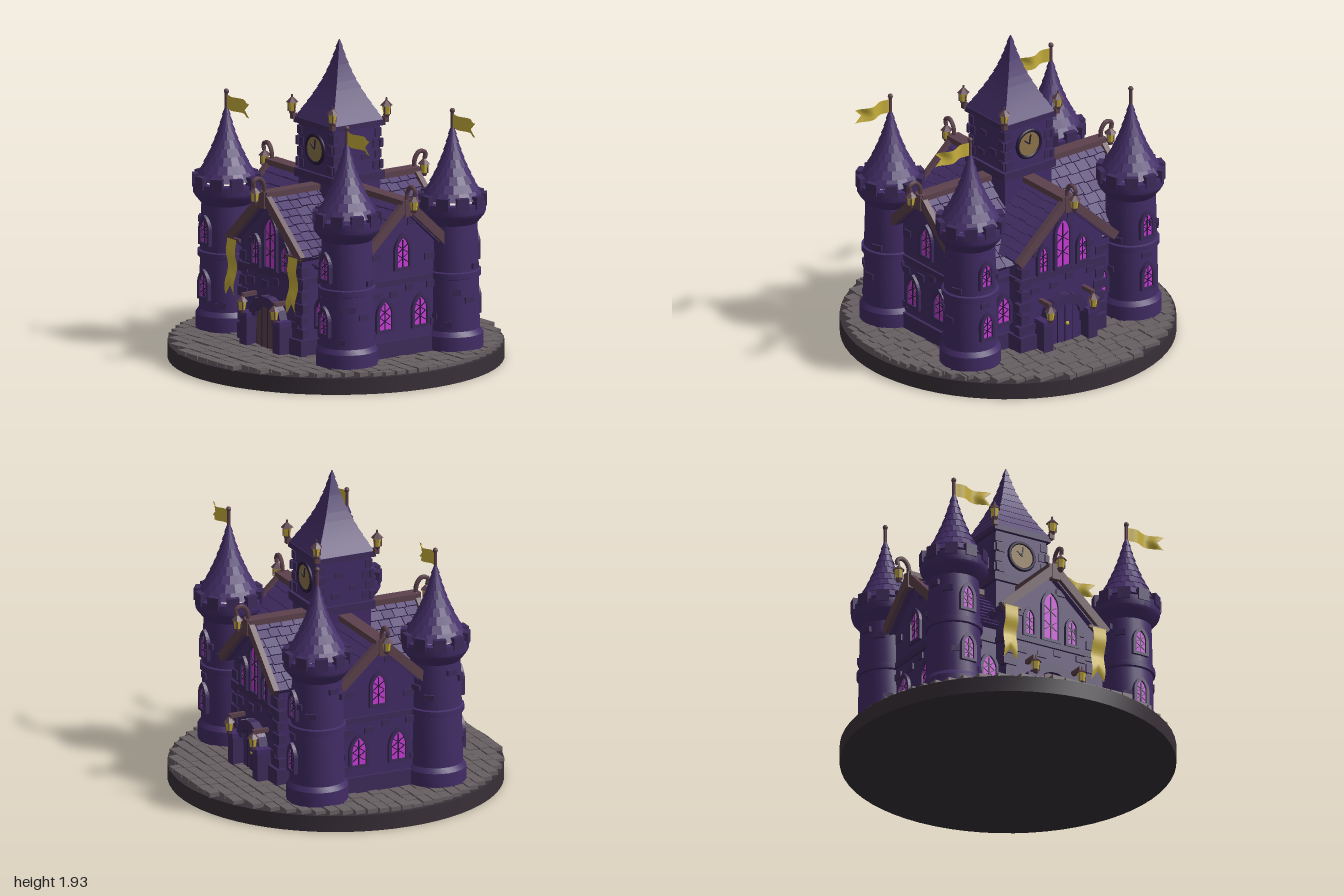
import * as THREE from 'three';
import { mergeGeometries, toCreasedNormals } from 'three/addons/utils/BufferGeometryUtils.js';

const mat = (name, color, side = THREE.FrontSide) => {
  const m = new THREE.MeshStandardMaterial({ color, side });
  m.name = name;
  return m;
};
const M = {
  wall: mat('purple wall', 0x422c66),
  stone: mat('purple stone', 0x3d2a5a),
  roof: mat('violet shingle', 0x452f69),
  dark: mat('dark joint', 0x251a38),
  trim: mat('brown timber', 0x5c414c),
  base: mat('dark base', 0x383038),
  cobble: mat('grey cobble', 0x686062),
  gold: mat('gold', 0xc8b03c, THREE.DoubleSide),
  glass: mat('magenta glass', 0xc83ad6),
  clock: mat('clock face', 0x8c7448),
};
let seed = 7;
const rnd = () => (seed = (seed * 16807) % 2147483647) / 2147483647;

const box = (w, h, d) => new THREE.BoxGeometry(w, h, d);
const cyl = (a, b, h, n = 8) => toCreasedNormals(new THREE.CylinderGeometry(a, b, h, n), 0.6);
function put(parent, name, geo, m, x = 0, y = 0, z = 0, ry = 0) {
  const mesh = new THREE.Mesh(geo, m);
  mesh.name = name;
  mesh.position.set(x, y, z);
  mesh.rotation.y = ry;
  parent.add(mesh);
  return mesh;
}
function group(parent, name, x = 0, y = 0, z = 0, ry = 0) {
  const g = new THREE.Group();
  g.name = name;
  g.position.set(x, y, z);
  g.rotation.y = ry;
  parent.add(g);
  return g;
}

// Pointed arch outline standing on y = 0
function arch(w, h, Kind = THREE.Shape) {
  const s = new Kind(), r = w / 2, k = h - w * 0.8;
  s.moveTo(-r, 0);
  s.lineTo(r, 0);
  s.lineTo(r, k);
  s.quadraticCurveTo(r * 0.9, k + w * 0.5, 0, h);
  s.quadraticCurveTo(-r * 0.9, k + w * 0.5, -r, k);
  s.lineTo(-r, 0);
  return s;
}
const extrude = (s, depth) => new THREE.ExtrudeGeometry(s, { depth, bevelEnabled: false, curveSegments: 6 });

function archWindow(parent, w, h, x, y, z, ry = 0) {
  const g = group(parent, 'window', x, y, z, ry);
  const frame = arch(w + 0.04, h + 0.045), hole = arch(w, h, THREE.Path);
  hole.curves.forEach((c) => ['v0', 'v1', 'v2'].forEach((k) => c[k] && (c[k].y += 0.018)));
  frame.holes.push(hole);
  put(g, 'windowFrame', extrude(frame, 0.03), M.stone, 0, -0.018, -0.01);
  put(g, 'glassPane', extrude(arch(w, h), 0.008), M.glass);
  put(g, 'mullion', box(0.006, h * 0.92, 0.006), M.dark, 0, h * 0.46, 0.01);
  for (const [t, a] of [[0.3, 0.6], [0.3, -0.6], [0.62, 0.6], [0.62, -0.6]])
    put(g, 'leadBar', box(w * 1.05, 0.005, 0.005), M.dark, 0, h * t, 0.009).rotation.z = a;
}

// Lantern whose bottom is at y
function lantern(parent, x, y, z) {
  const g = group(parent, 'lantern', x, y, z);
  put(g, 'lanternFoot', cyl(0.022, 0.014, 0.02, 6), M.trim, 0, 0.01);
  put(g, 'lanternGlass', cyl(0.028, 0.018, 0.055, 6), M.gold, 0, 0.047);
  put(g, 'lanternCap', cyl(0.008, 0.038, 0.03, 6), M.trim, 0, 0.088);
  put(g, 'lanternKnob', cyl(0.006, 0.006, 0.02, 6), M.trim, 0, 0.11);
  for (let i = 0; i < 3; i++) {
    const a = (i + 0.5) * Math.PI / 1.5;
    put(g, 'lanternBar', box(0.006, 0.055, 0.006), M.trim, 0.024 * Math.sin(a), 0.047, 0.024 * Math.cos(a));
  }
}

// Spire of overlapping shingle courses; radius(t) for t from eave to tip
function spire(parent, sides, h, y, tiers, radius, turn) {
  const parts = [];
  for (let i = 0; i < tiers; i++) {
    const t = i / tiers, top = (i + 1) / tiers;
    const c = new THREE.CylinderGeometry(radius(top), radius(t) + 0.006, h / tiers, sides);
    c.rotateY(turn + (sides > 4 ? (i % 2) * Math.PI / sides : 0));
    c.translate(0, (i + 0.5) * h / tiers, 0);
    parts.push(c);
  }
  put(parent, 'spireShingles', toCreasedNormals(mergeGeometries(parts), 0.3), M.roof, 0, y);
}

// Wavy swallowtail cloth running along +x from the origin
function cloth(len, w, amp, waves) {
  const g = new THREE.PlaneGeometry(len, w, 16, 4).translate(len / 2, 0, 0);
  const p = g.attributes.position;
  for (let i = 0; i < p.count; i++) {
    const t = p.getX(i) / len, v = Math.abs(p.getY(i)) / (w / 2);
    p.setX(i, p.getX(i) - (1 - v) * len * 0.18 * Math.max(0, t - 0.5) * 2);
    p.setZ(i, amp * Math.sin(t * waves * Math.PI * 2) * Math.min(1, t * 3));
    p.setY(i, p.getY(i) - 0.015 * t);
  }
  g.computeVertexNormals();
  return g;
}

const SLOPE = 0.92, RIDGE = 1.05, ANGLE = Math.atan(SLOPE);

// Gabled wing with its ridge along local z
function wing(parent, name, half, wallHalf, len, ry) {
  const g = group(parent, name, 0, 0, 0, ry);
  const wallLen = len - 0.05, eave = RIDGE - wallHalf * SLOPE - 0.03;
  const s = new THREE.Shape([[-wallHalf, 0.1], [wallHalf, 0.1], [wallHalf, eave], [0, RIDGE - 0.03], [-wallHalf, eave]]
    .map(([x, y]) => new THREE.Vector2(x, y)));
  put(g, 'gableWalls', extrude(s, wallLen * 2), M.wall, 0, 0, -wallLen);
  put(g, 'stringCourse', box(wallHalf * 2 + 0.03, 0.035, wallLen * 2 + 0.03), M.stone, 0, 0.575, 0);
  put(g, 'plinth', box(wallHalf * 2 + 0.04, 0.12, wallLen * 2 + 0.04), M.stone, 0, 0.16, 0);
  const run = half / Math.cos(ANGLE), rows = 8, step = run / rows;
  for (const turn of [0, Math.PI]) {
    const slope = group(g, 'roofSlope', 0, RIDGE, 0);
    slope.rotation.set(0, turn, -ANGLE, 'YXZ');
    put(slope, 'roofDeck', box(run, 0.03, len * 2 - 0.02), M.roof, run / 2, -0.015, 0);
    const tiles = [];
    for (let r = 0; r < rows; r++) {
      let z = -len + 0.01;
      while (z < len - 0.02) {
        const w = Math.min(0.06 + rnd() * 0.03, len - 0.01 - z);
        tiles.push(box(step * 1.1, 0.014, w - 0.005).rotateZ(0.12 + rnd() * 0.06)
          .translate((r + 0.5) * step + (rnd() - 0.5) * 0.01, 0.005, z + w / 2));
        z += w;
      }
    }
    put(slope, 'roofShingles', mergeGeometries(tiles), M.roof);
    for (const e of [-1, 1]) put(slope, 'bargeBoard', box(run + 0.02, 0.055, 0.035), M.trim, run / 2, 0.005, e * len);
  }
  put(g, 'ridgeBeam', box(0.085, 0.035, len * 2 + 0.03), M.trim, 0, RIDGE + 0.012, 0);
  // Hooked lantern at each gable peak
  for (const turn of [0, Math.PI]) {
    const e = group(g, 'gableHook', 0, 0, 0, turn);
    const pts = [[1.03, 0], [1.13, 0.01], [1.165, 0.045], [1.15, 0.085], [1.115, 0.08]]
      .map(([y, z]) => new THREE.Vector3(0, y, len + z));
    put(e, 'hook', new THREE.TubeGeometry(new THREE.CatmullRomCurve3(pts), 16, 0.014, 6), M.trim);
    put(e, 'hookBracket', box(0.05, 0.1, 0.04), M.trim, 0, 1.03, len + 0.005);
    lantern(e, 0, 1.01, len + 0.075);
    // Raised wall blocks and corner stones
    for (const [x, y, w] of [[-0.19, 0.74, 0.06], [0.2, 0.7, 0.07], [0.07, 0.93, 0.06], [-0.2, 0.5, 0.07], [0.21, 0.53, 0.06], [-0.06, 0.5, 0.06], [0.05, 0.53, 0.05], [-0.23, 0.27, 0.07], [0.24, 0.3, 0.06]])
      put(e, 'wallBlock', box(w, 0.04, 0.02), M.stone, x, y, wallLen);
    for (const sx of [-1, 1]) for (let i = 0; i < 6; i++)
      put(e, 'cornerStone', box(i % 2 ? 0.06 : 0.09, 0.055, 0.05), M.stone, sx * (wallHalf - 0.02), 0.26 + i * 0.075, wallLen - 0.015);
  }
  return g;
}

function roundTower(parent, sx, sz, flag) {
  const g = group(parent, 'cornerTower', sx * 0.6, 0, sz * 0.39);
  const profile = [[0.185, 0.1], [0.185, 0.21], [0.165, 0.24], [0.158, 0.555], [0.172, 0.56], [0.172, 0.595], [0.158, 0.6],
    [0.15, 0.88], [0.19, 0.93], [0.2, 0.95], [0.2, 1.01], [0.15, 1.01]].map(([x, y]) => new THREE.Vector2(x, y));
  put(g, 'towerShaft', toCreasedNormals(new THREE.LatheGeometry(profile, 24), 0.5), M.wall);
  for (let i = 0; i < 10; i++) {
    const a = (i / 10) * Math.PI * 2;
    put(g, 'merlon', box(0.075, 0.075, 0.035), M.stone, 0.187 * Math.sin(a), 1.02, 0.187 * Math.cos(a), a);
  }
  for (let i = 0; i < 12; i++) {
    const a = i * 2.4 + 0.7, y = 0.28 + ((i * 5) % 12) * 0.05;
    if (Math.abs(y - 0.575) > 0.04) put(g, 'towerBlock', box(0.065, 0.035, 0.02), M.stone, 0.156 * Math.sin(a), y, 0.156 * Math.cos(a), a);
  }
  spire(g, 16, 0.43, 1.03, 9, (t) => 0.175 * (1 - t) + 0.008 - 0.02 * Math.sin(t * Math.PI), 0);
  put(g, 'flagPole', cyl(0.01, 0.01, 0.16, 8), M.trim, 0, 1.48);
  put(g, 'poleKnob', new THREE.SphereGeometry(0.016, 8, 6), M.trim, 0, 1.555);
  if (flag) put(g, 'flag', cloth(0.25, 0.085, 0.018, 1.3), M.gold, 0, 1.495, 0);
  const ry = sz > 0 ? 0 : Math.PI;
  archWindow(g, 0.065, 0.14, 0, 0.655, sz * 0.15, ry);
  archWindow(g, 0.065, 0.14, 0, 0.325, sz * 0.158, ry);
}

// Gable windows, doorway, banners on local +z
function entrance(parent, ry, front) {
  const g = group(parent, front ? 'frontEntrance' : 'backEntrance', 0, 0, 0, ry), z = 0.5;
  archWindow(g, 0.095, 0.3, 0, 0.61, z);
  for (const s of [-1, 1]) {
    archWindow(g, 0.055, 0.155, s * 0.147, 0.61, z);
    archWindow(g, 0.09, 0.16, s * 0.36, 0.3, 0.39);
    put(g, 'doorPillar', box(0.07, 0.19, 0.11), M.stone, s * 0.165, 0.2, z + 0.035);
    put(g, 'pillarCap', box(0.08, 0.03, 0.12), M.wall, s * 0.165, 0.305, z + 0.035);
    put(g, 'lanternBracket', box(0.025, 0.025, 0.1), M.trim, s * 0.16, 0.425, z + 0.05);
    lantern(g, s * 0.16, 0.315, z + 0.1);
    if (front) {
      put(g, 'bannerRod', box(0.13, 0.018, 0.018), M.trim, s * 0.3, 0.735, 0.56);
      put(g, 'banner', cloth(0.35, 0.09, 0.012, 1.5).rotateZ(-Math.PI / 2), M.gold, s * 0.305, 0.735, 0.57);
    }
  }
  put(g, 'door', box(0.22, 0.28, 0.02), front ? M.trim : M.wall, 0, 0.25, z + 0.02);
  for (const x of [-0.055, 0, 0.055]) put(g, 'doorSeam', box(0.004, 0.26, 0.006), M.dark, x, 0.24, z + 0.03);
  put(g, 'doorKnob', new THREE.SphereGeometry(0.012, 8, 6), M.gold, front ? 0.08 : 0.015, 0.24, z + 0.035);
  for (let i = 0; i < 7; i++) {
    const a = (i / 6 - 0.5) * Math.PI * 0.8;
    put(g, 'archStone', box(0.062, 0.06, 0.07), M.stone, 0.125 * Math.sin(a), 0.305 + 0.1 * Math.cos(a), z + 0.02).rotation.z = -a;
  }
}

export function createModel() {
  const model = new THREE.Group();
  model.name = 'castle';

  // Round base with cobbles laid in rows
  put(model, 'base', cyl(1, 1, 0.1, 64), M.base, 0, 0.05);
  const stones = [], rows = 27, rowH = 1.94 / rows;
  for (let r = 0; r < rows; r++) {
    const z = -0.97 + (r + 0.5) * rowH, edge = Math.sqrt(0.975 ** 2 - z * z);
    let x = -edge;
    while (x < edge - 0.02) {
      const w = Math.min(0.08 + rnd() * 0.05, edge - x), h = 0.024 + rnd() * 0.008;
      stones.push(box(w - 0.008, h, rowH - 0.008).translate(x + w / 2, 0.096 + h / 2, z));
      x += w;
    }
  }
  put(model, 'cobbles', mergeGeometries(stones), M.cobble);

  const castle = group(model, 'building', 0, 0, -0.025);
  wing(castle, 'crossWing', 0.35, 0.3, 0.55, 0);
  const hall = wing(castle, 'mainHall', 0.42, 0.38, 0.67, Math.PI / 2);
  for (const s of [-1, 1]) {
    const side = group(hall, 'sideWindows', 0, 0, 0, s > 0 ? 0 : Math.PI);
    archWindow(side, 0.085, 0.18, 0, 0.66, 0.62);
    for (const x of [-0.13, 0.13]) archWindow(side, 0.09, 0.17, x, 0.295, 0.62);
  }
  for (const sx of [-1, 1]) for (const sz of [-1, 1]) roundTower(castle, sx, sz, sx > 0 || sz > 0);
  entrance(castle, 0, true);
  entrance(castle, Math.PI, false);

  // Central clock tower
  const tower = group(castle, 'clockTower');
  put(tower, 'towerBody', box(0.345, 0.62, 0.345), M.wall, 0, 1.12);
  put(tower, 'towerCollar', box(0.385, 0.05, 0.385), M.stone, 0, 1.115);
  put(tower, 'towerCornice', box(0.39, 0.035, 0.39), M.stone, 0, 1.435);
  spire(tower, 4, 0.48, 1.45, 10, (t) => 1.414 * (0.185 * (1 - t) + 0.002 - 0.025 * Math.sin(t * Math.PI)), Math.PI / 4);
  for (let k = 0; k < 4; k++) {
    const f = group(tower, 'towerFace', 0, 0, 0, k * Math.PI / 2);
    for (const s of [-1, 1]) for (let i = 0; i < 4; i++)
      put(f, 'quoin', box(i % 2 ? 0.045 : 0.075, 0.05, 0.02), M.stone, s * 0.155, 1.18 + i * 0.065, 0.17);
    put(f, 'lanternStand', box(0.03, 0.035, 0.03), M.trim, 0.195, 1.455, 0.195);
    lantern(f, 0.2, 1.465, 0.2);
    if (k % 2) {
      for (const [x, y] of [[-0.04, 1.33], [0.06, 1.24], [-0.06, 1.2]]) put(f, 'wallBlock', box(0.06, 0.035, 0.02), M.stone, x, y, 0.17);
      continue;
    }
    put(f, 'clockRim', new THREE.TorusGeometry(0.085, 0.012, 8, 28), M.dark, 0, 1.285, 0.178);
    put(f, 'clockFace', cyl(0.083, 0.083, 0.009, 28).rotateX(Math.PI / 2), M.clock, 0, 1.285, 0.178);
    for (const [len, a] of [[0.06, -0.15], [0.045, 0.9]])
      put(f, 'clockHand', box(0.008, len, 0.005).translate(0, len / 2, 0), M.dark, 0, 1.285, 0.185).rotation.z = a;
  }
  return model;
}
